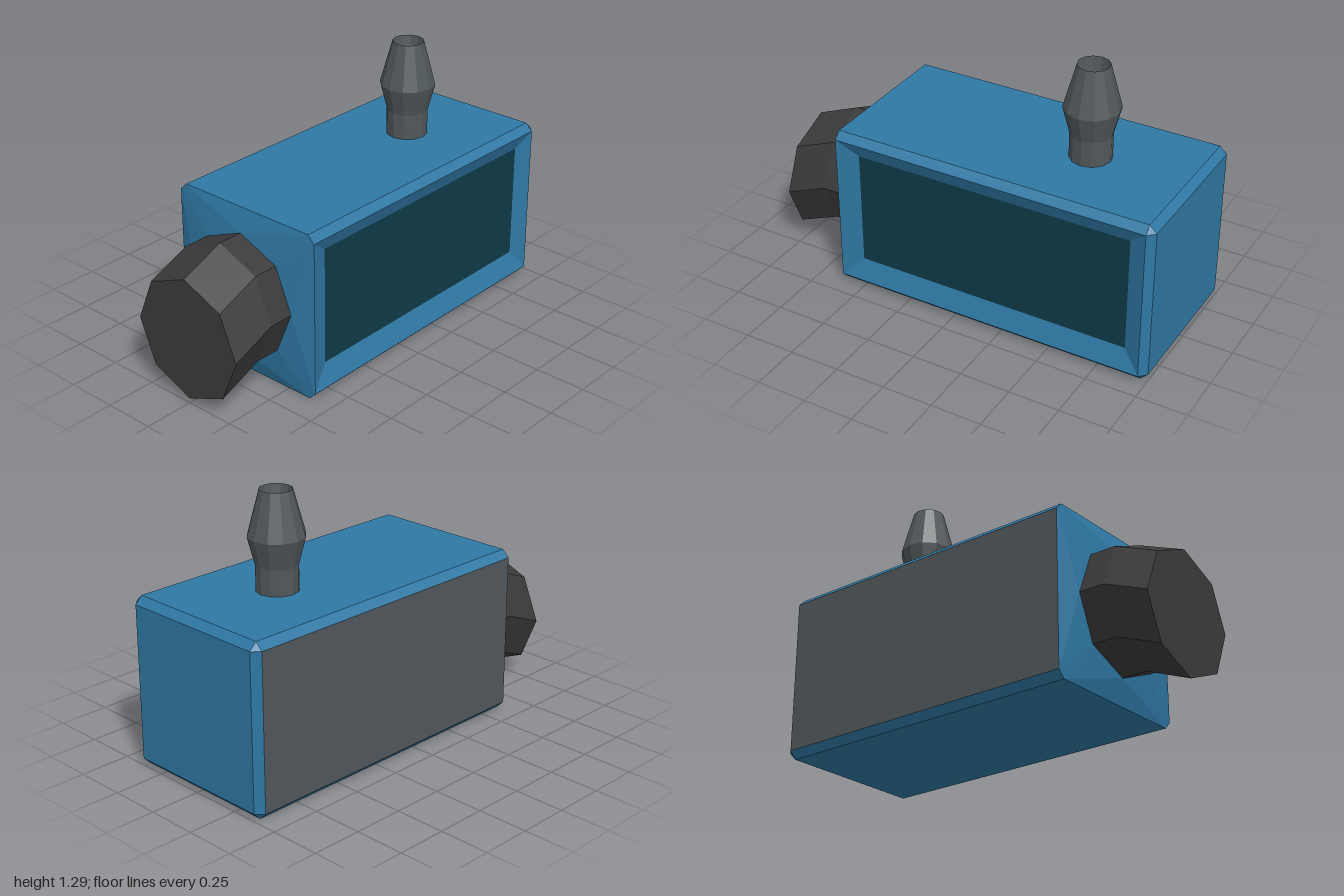
import * as THREE from 'three';
import { ConvexGeometry } from 'three/addons/geometries/ConvexGeometry.js';

const mat = (name, color) => {
  const m = new THREE.MeshStandardMaterial({ color });
  m.name = name;
  return m;
};

// Flat-faced geometry from convex polygons, each a list of [x, y, z] corners
function faces(polygons) {
  const pos = [];
  for (const p of polygons)
    for (let i = 1; i < p.length - 1; i++) pos.push(...p[0], ...p[i], ...p[i + 1]);
  const g = new THREE.BufferGeometry();
  g.setAttribute('position', new THREE.Float32BufferAttribute(pos, 3));
  g.computeVertexNormals();
  return g;
}

// Quads between two rings, ordered counterclockwise as seen from the second
const band = (a, b) => a.map((p, i) => {
  const j = (i + 1) % a.length;
  return [p, a[j], b[j], b[i]];
});

export function createModel() {
  const group = new THREE.Group();
  const blue = mat('blue casing', 0x2f78a4);
  const glass = mat('dark teal window', 0x0e3a48);
  const grey = mat('grey metal', 0x50575a);
  const black = mat('black rubber', 0x3b3b3b);
  const add = (name, geometry, material) => {
    const mesh = new THREE.Mesh(geometry, material);
    mesh.name = name;
    group.add(mesh);
    return mesh;
  };

  // Casing: chamfered box, cross-sections along x
  const H = 0.825, D = 0.41, c = 0.035, x0 = -0.62, x1 = 0.965;
  const section = [
    [0, D - c], [0, c - D], [c, -D], [H - c, -D],
    [H, c - D], [H, D - c], [H - c, D], [c, D],
  ];
  const ring = x => section.map(([y, z]) => [x, y, z]);
  const clamp = THREE.MathUtils.clamp;
  const endRing = section.map(([y, z]) => [1, clamp(y, c, H - c), clamp(z, c - D, D - c)]);
  const sides = band(ring(x0), ring(x1));
  const BACK = 2, FRONT = 6;

  // Recessed window with sloping frame
  const rect = (xa, xb, ya, yb, z) => [[xa, ya, z], [xb, ya, z], [xb, yb, z], [xa, yb, z]];
  const outer = rect(x0, x1, c, H - c, D);
  const inner = rect(-0.515, 0.88, 0.14, 0.715, D - 0.035);

  add('casing', faces([
    ...sides.filter((_, i) => i !== BACK && i !== FRONT),
    ...band(ring(x1), endRing),
    [endRing[0], endRing[1], endRing[3], endRing[5]],
  ]), blue);
  add('windowFrame', faces(band(outer, inner)), blue);
  add('window', faces([inner]), glass);
  add('backPanel', faces([sides[BACK]]), grey);

  // Elbow: octagonal pipe that bends downward
  const R = 0.302;
  const pipeRing = (x, cy) => Array.from({ length: 8 }, (_, i) => {
    const a = i * Math.PI / 4;
    return [x, cy - R * Math.cos(a), -R * Math.sin(a)];
  });
  const end = pipeRing(-1, 0.325), bend = pipeRing(-0.78, 0.415), root = pipeRing(-0.65, 0.415);
  add('elbowPipe', faces([
    ...band(end, bend), ...band(bend, root), [...end].reverse(),
  ]), black);

  // Collar tapering from the casing to the pipe
  const collar = [...ring(x0), ...pipeRing(-0.655, 0.415)];
  add('collar', new ConvexGeometry(collar.map(p => new THREE.Vector3(...p))), blue);

  // Hose nozzle with a tapered bore
  const profile = [
    [0.1, 0.82], [0.1, 0.95], [0.134, 1.08], [0.076, 1.295], [0.05, 1.12], [0, 1.12],
  ].map(([r, y]) => new THREE.Vector2(r, y));
  const nozzleGeometry = new THREE.LatheGeometry(profile, 12).toNonIndexed();
  nozzleGeometry.computeVertexNormals();
  add('nozzle', nozzleGeometry, grey).position.x = 0.495;

  return group;
}
